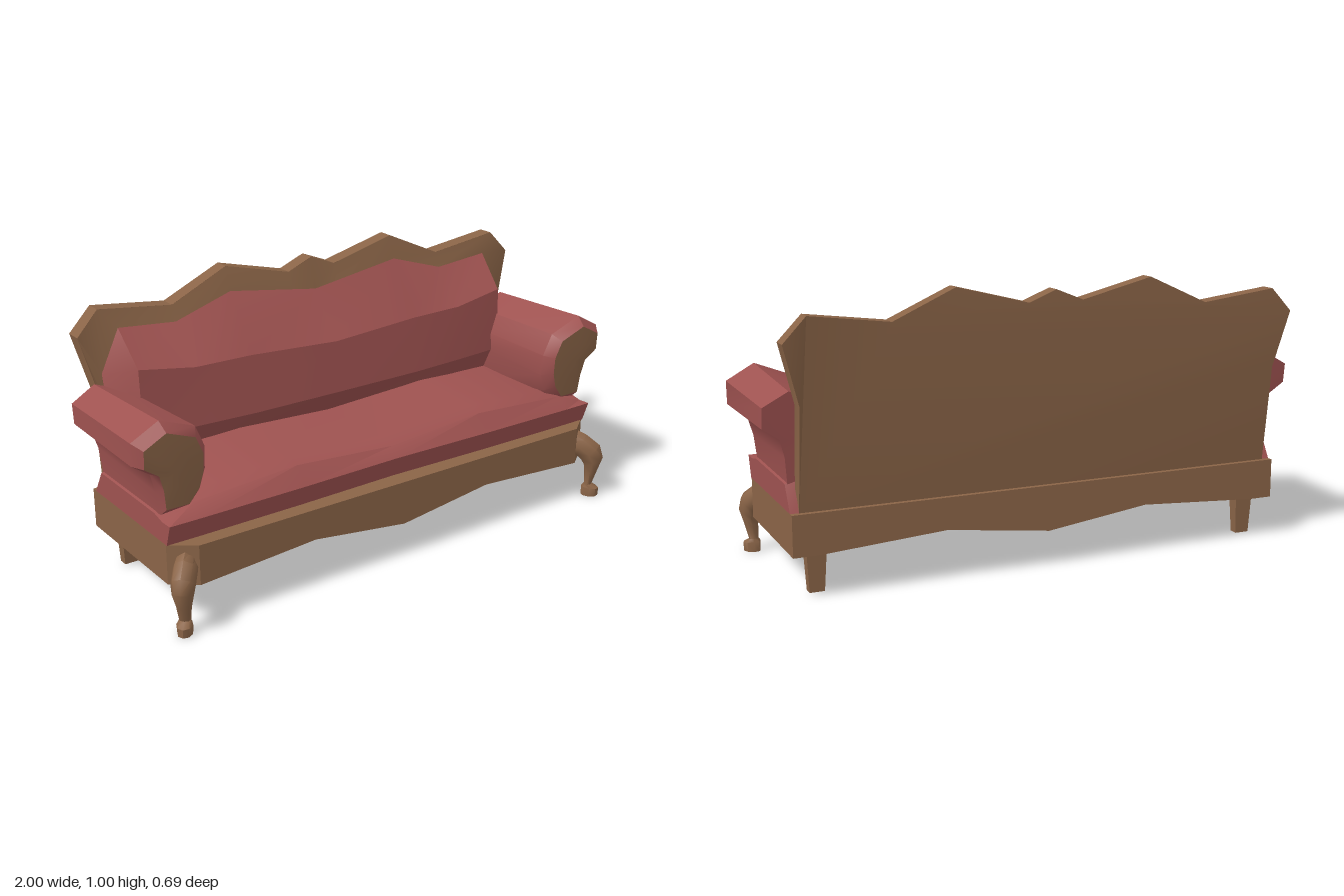
import * as THREE from 'three';
import { toCreasedNormals } from 'three/addons/utils/BufferGeometryUtils.js';

const wood = new THREE.MeshStandardMaterial({ name: 'brown wood', color: 0x8a6447 });
const fabric = new THREE.MeshStandardMaterial({ name: 'red fabric', color: 0x9e5250 });

// Skins a list of point rings; sx = -1 mirrors the result across x.
function loft(rings, { closed = true, caps = closed, sx = 1, crease = 0.6 } = {}) {
  const n = rings[0].length, pos = [], index = [];
  rings.forEach(r => r.forEach(([x, y, z]) => pos.push(x * sx, y, z)));
  const tri = (a, b, c) => (sx > 0 ? index.push(a, b, c) : index.push(a, c, b));
  for (let i = 0; i < rings.length - 1; i++) {
    for (let j = 0; j < (closed ? n : n - 1); j++) {
      const k = (j + 1) % n, a = i * n, b = a + n;
      tri(a + j, b + j, b + k);
      tri(a + j, b + k, a + k);
    }
  }
  if (caps) {
    [0, rings.length - 1].forEach((i, end) => {
      const c = [0, 1, 2].map(q => rings[i].reduce((t, p) => t + p[q], 0) / n);
      const m = pos.length / 3;
      pos.push(c[0] * sx, c[1], c[2]);
      for (let j = 0; j < n; j++) {
        const p = i * n + j, q = i * n + (j + 1) % n;
        if (end) tri(m, q, p); else tri(m, p, q);
      }
    });
  }
  const g = new THREE.BufferGeometry();
  g.setAttribute('position', new THREE.Float32BufferAttribute(pos, 3));
  g.setIndex(index);
  return toCreasedNormals(g, crease);
}

// Completes stations given from the centre outwards with their mirror image.
const mirrorStations = half => [
  ...half.slice().reverse().filter(r => r[0][0] !== 0).map(r => r.map(([x, y, z]) => [-x, y, z])),
  ...half,
];
const mirrorOutline = half => mirrorStations(half.map(([x, y]) => [[x, y, 0]])).map(r => [r[0][0], r[0][1]]);
const shapeOf = pts => new THREE.Shape(pts.map(p => new THREE.Vector2(p[0], p[1])));
const extrude = (pts, depth) => new THREE.ExtrudeGeometry(shapeOf(pts), { depth, bevelEnabled: false });

// Piecewise linear lookup in [key, value] pairs.
function lookup(table, v) {
  for (let i = 1; i < table.length; i++) {
    const [a, p] = table[i - 1], [b, q] = table[i];
    if (v <= b || i === table.length - 1) return p + (q - p) * Math.min(1, Math.max(0, (v - a) / (b - a)));
  }
}
const frameFront = y => lookup([[0.29, -0.235], [0.65, -0.27], [0.855, -0.288], [1, -0.295]], y);
const frameBack = y => lookup([[0.29, -0.285], [0.65, -0.33], [0.855, -0.35], [1, -0.35]], y);

export function createModel() {
  const model = new THREE.Group();
  model.name = 'sofa';
  const add = (name, geometry, material, x = 0, y = 0, z = 0) => {
    const m = new THREE.Mesh(geometry, material);
    m.name = name;
    m.position.set(x, y, z);
    model.add(m);
    return m;
  };

  // Base: wavy aprons front and back, chamfered ends, recessed underside
  const apron = [...mirrorOutline([[0, 0.13], [0.38, 0.18], [0.83, 0.15]]), [0.83, 0.293], [-0.83, 0.293]];
  add('frontApron', extrude(apron, 0.1), wood, 0, 0, 0.185);
  add('backApron', extrude(apron, 0.095), wood, 0, 0, -0.305);
  add('bottomPanel', new THREE.BoxGeometry(1.5, 0.1, 0.42), wood, 0, 0.24, -0.01);
  for (const s of [1, -1]) {
    const end = [[0.83, 0.305], [0.915, 0.305], [0.915, -0.22], [0.83, -0.285]].map(([x, y]) => [x * s, y]);
    const side = extrude(end, 0.143);
    side.rotateX(-Math.PI / 2);
    add('baseEnd', side, wood, 0, 0.15, 0);
    add('baseInnerRail', new THREE.BoxGeometry(0.14, 0.133, 0.4), wood, 0.76 * s, 0.2235, -0.01);
  }

  // Seat cushion: cross-sections from side to side, slightly wavy on top
  const seatSection = ([x, top, front]) => [
    [x, 0.292, front - 0.028], [x, 0.37, front], [x, top - 0.012, 0.205], [x, top, 0.15],
    [x, top, -0.23], [x, 0.292, -0.284],
  ];
  const seat = [[0, 0.415, 0.243], [0.4, 0.445, 0.252], [0.8, 0.42, 0.255], [0.915, 0.38, 0.254]];
  add('seatCushion', loft(mirrorStations(seat.map(seatSection))), fabric);

  // Back frame: scalloped board leaning backwards
  const crest = [[0, 0.98], [0.1, 0.94], [0.36, 1.005], [0.58, 0.905], [0.86, 0.94], [0.94, 0.855], [0.885, 0.65]];
  const board = extrude(mirrorOutline([...crest, [0.885, 0.285]]), 1);
  const p = board.attributes.position;
  for (let i = 0; i < p.count; i++) {
    const y = p.getY(i);
    p.setZ(i, p.getZ(i) > 0.5 ? frameFront(y) : frameBack(y));
  }
  add('backFrame', toCreasedNormals(board, 0.5), wood);

  // Sloped wooden border between the crest and the cushion
  const rim = [[0, 0.865], [0.1, 0.875], [0.36, 0.92], [0.58, 0.85], [0.8, 0.87], [0.87, 0.72], [0.865, 0.6]];
  const border = crest.map(([x, y], i) => [[rim[i][0], rim[i][1], -0.268], [x, y, frameFront(y) + 0.001]]);
  add('backBorder', loft(mirrorStations(border), { closed: false }), wood);

  // Back cushion: columns run from the underside up to the rim
  const cushion = [
    [[0, 0.4, -0.2], [0, 0.51, -0.11], [0, 0.7, -0.13], [0, 0.865, -0.268]],
    [[0.36, 0.4, -0.2], [0.36, 0.51, -0.112], [0.36, 0.72, -0.135], [0.36, 0.92, -0.268]],
    [[0.58, 0.4, -0.2], [0.58, 0.51, -0.125], [0.58, 0.72, -0.142], [0.58, 0.85, -0.268]],
    [[0.79, 0.4, -0.21], [0.79, 0.51, -0.142], [0.79, 0.75, -0.155], [0.8, 0.87, -0.268]],
    [[0.86, 0.4, -0.24], [0.86, 0.5, -0.245], [0.87, 0.72, -0.268], [0.8, 0.87, -0.268]],
  ];
  add('backCushion', loft(mirrorStations(cushion), { closed: false, crease: 0.45 }), fabric);

  // Rolled arms with wooden front panels
  const armSection = [
    [0.8, 0.37], [0.755, 0.43], [0.735, 0.5], [0.735, 0.58], [0.77, 0.66], [0.9, 0.71],
    [1, 0.655], [1, 0.575], [0.935, 0.53], [0.915, 0.46], [0.905, 0.37],
  ];
  const armRing = (scale, zAt, shift = 0) => armSection.map(([x, y]) => {
    const v = 0.55 + (y - 0.55) * scale;
    return [0.87 + shift + (x - 0.87) * scale, v, zAt(v)];
  });
  const face = (y, offset) => 0.185 + offset + (y - 0.68) * 0.07;
  const armBack = armRing(0.88, y => -0.265 - (y - 0.68) * 0.115, 0.005)
    .map(([x, y, z]) => [x, y < 0.45 ? 0.37 : y, z]);
  const armFront = armRing(0.8, y => face(y, 0.04));
  const armRings = [armBack, armRing(1, y => face(y, 0)), armFront];
  const panelRings = [armFront, armRing(0.4, y => face(y, 0.043))];

  // Curved front legs: outer point, inner point (reach, height) and half width
  const legProfile = [
    [0.01, 0.285, -0.01, 0.17, 0.035], [0.08, 0.255, 0.045, 0.165, 0.042], [0.135, 0.215, 0.065, 0.15, 0.042],
    [0.15, 0.165, 0.078, 0.13, 0.036], [0.13, 0.105, 0.082, 0.1, 0.026], [0.112, 0.05, 0.083, 0.05, 0.02],
    [0.14, 0.034, 0.073, 0.04, 0.028], [0.138, 0.003, 0.073, 0.003, 0.026],
  ];
  const legRings = legProfile.map(([od, oy, id, iy, w]) => Array.from({ length: 8 }, (_, k) => {
    const t = k * Math.PI / 4, c = Math.cos(t), side = w * Math.sin(t);
    const d = (od + id) / 2 + c * (od - id) / 2;
    return [0.835 + d * 0.65 + side * 0.76, (oy + iy) / 2 + c * (oy - iy) / 2, 0.22 + d * 0.76 - side * 0.65];
  }));

  // Tapered square back legs
  const backLeg = new THREE.CylinderGeometry(0.5, 0.37, 0.16, 4, 1).toNonIndexed();
  backLeg.rotateY(Math.PI / 4);
  backLeg.scale(0.1, 1, 0.065);
  backLeg.computeVertexNormals();

  for (const sx of [1, -1]) {
    const sideName = sx > 0 ? 'left' : 'right';
    add(sideName + 'Arm', loft(armRings, { sx, crease: 0.7 }), fabric);
    add(sideName + 'ArmPanel', loft(panelRings, { sx }), wood);
    add(sideName + 'FrontLeg', loft(legRings, { sx, crease: 0.9 }), wood);
    add(sideName + 'BackLeg', backLeg, wood, 0.825 * sx, 0.09, -0.242);
  }
  return model;
}
